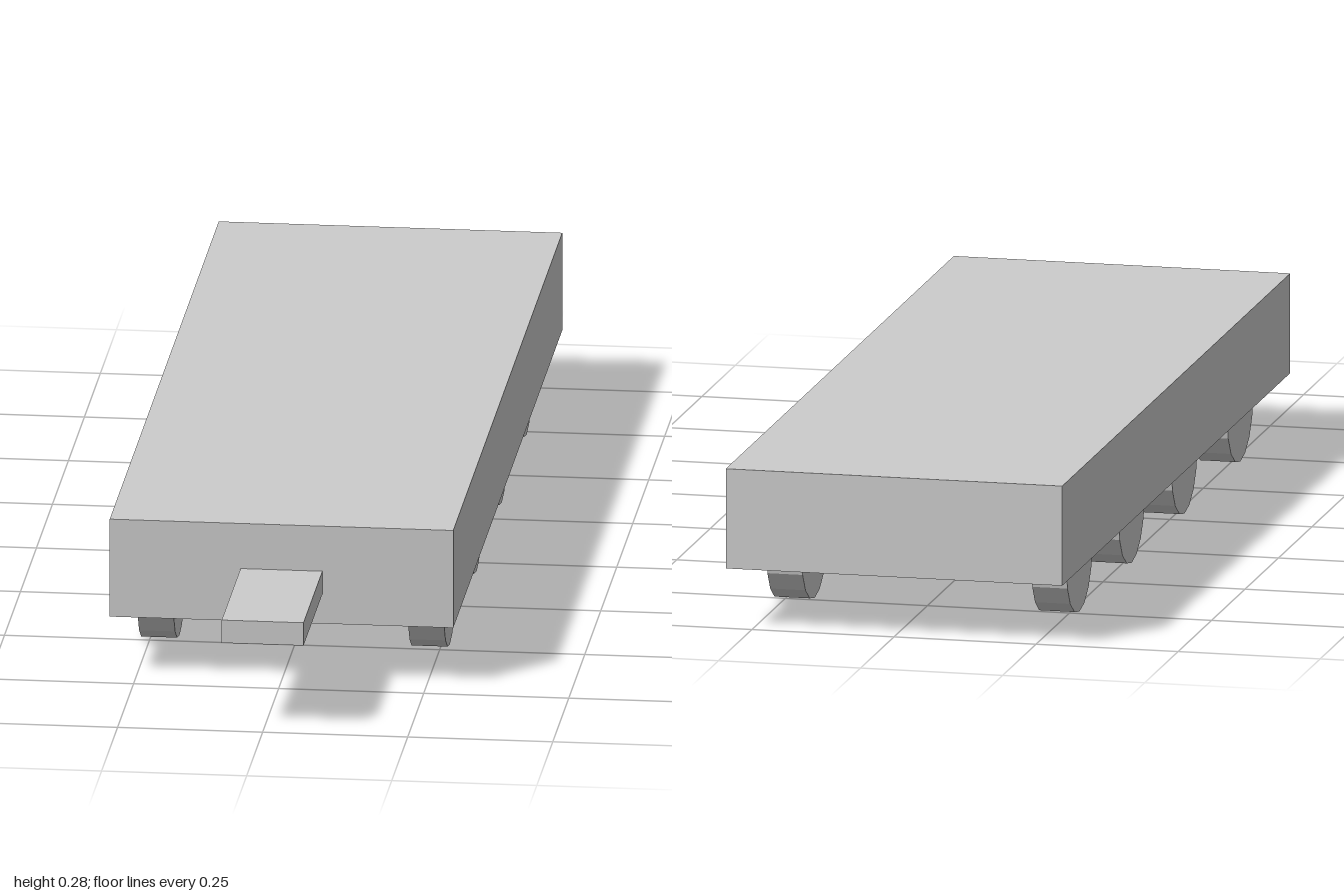
import * as THREE from 'three';

export function createModel() {
  const model = new THREE.Group();
  model.name = 'trailer';
  const material = new THREE.MeshStandardMaterial({ color: 0xcccccc, flatShading: true });

  function add(name, geometry, x, y, z, parent = model) {
    const mesh = new THREE.Mesh(geometry, material);
    mesh.name = name;
    mesh.position.set(x, y, z);
    parent.add(mesh);
    return mesh;
  }

  // Flat slab body
  const bodyFront = 0.705, bodyBack = -1;
  add('body', new THREE.BoxGeometry(0.592, 0.175, bodyFront - bodyBack),
    0, 0.1925, (bodyFront + bodyBack) / 2);

  // Drawbar sticking out of the front, its root set slightly into the body
  const root = bodyFront - 0.01;
  add('drawbar', new THREE.BoxGeometry(0.141, 0.041, 1 - root), 0, 0.1785, (1 + root) / 2);

  // Four pairs of wheels, upper halves sunk into the body
  const radius = 0.097;
  const wheel = new THREE.CylinderGeometry(radius, radius, 0.062, 16).rotateZ(Math.PI / 2);
  const wheels = new THREE.Group();
  wheels.name = 'wheels';
  model.add(wheels);
  [0.467, 0.05, -0.345, -0.735].forEach((z, i) => {
    for (const side of [1, -1]) {
      add(`${side > 0 ? 'left' : 'right'}Wheel${i + 1}`, wheel, side * 0.233, radius, z, wheels);
    }
  });

  return model;
}
